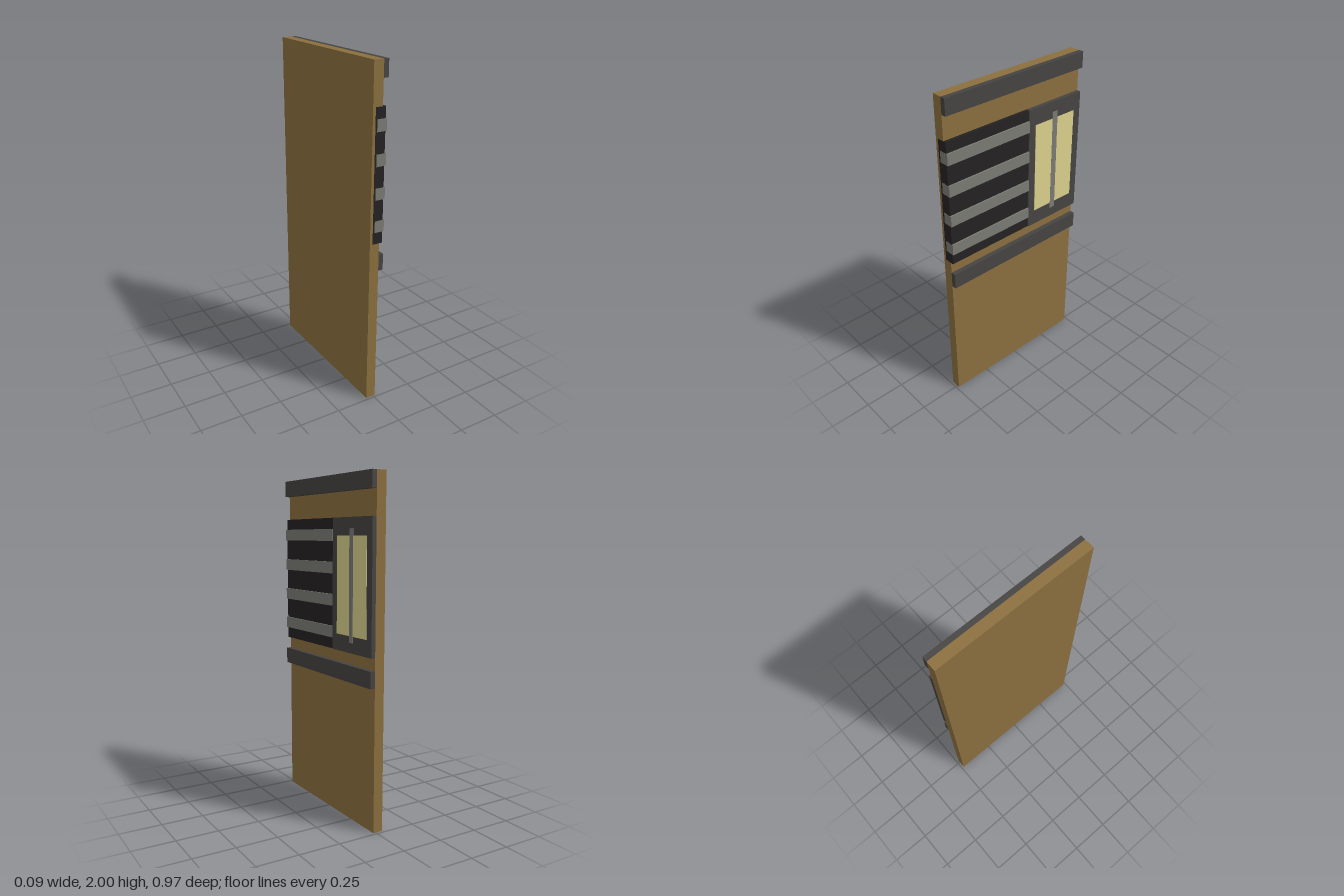
import * as THREE from 'three';

const mat = (color) => new THREE.MeshStandardMaterial({ color });

export function createModel() {
  const model = new THREE.Group();
  const wood = mat(0x8b6f3e), trim = mat(0x464442), recess = mat(0x242121);
  const slatGrey = mat(0x7b7b75), glass = mat(0xdbd18d);

  // Box given by its extents along each axis
  const box = (name, material, [x0, x1], [y0, y1], [z0, z1]) => {
    const mesh = new THREE.Mesh(new THREE.BoxGeometry(x1 - x0, y1 - y0, z1 - z0), material);
    mesh.position.set((x0 + x1) / 2, (y0 + y1) / 2, (z0 + z1) / 2);
    mesh.name = name;
    model.add(mesh);
  };

  // Wall panel and the two trim rails
  const width = [-0.485, 0.485];
  box('wallPanel', wood, [-0.045, 0.015], [0, 2], width);
  box('topRail', trim, [0.015, 0.045], [1.905, 2], width);
  box('middleRail', trim, [0.015, 0.045], [0.835, 0.932], width);

  // Dark grille with four slats, ends just proud of the panel edge
  box('grilleBack', recess, [-0.028, 0.034], [1.003, 1.762], [-0.085, 0.4855]);
  for (let i = 0; i < 4; i++) {
    const y = 1.104 + i * 0.187;
    box('slat' + (i + 1), slatGrey, [-0.017, 0.043], [y - 0.034, y + 0.034], [-0.085, 0.486]);
  }

  // Window: frame, pane and centre bar
  box('windowFrame', trim, [0.015, 0.04], [1.003, 1.762], [-0.485, -0.085]);
  box('windowPane', glass, [0.02, 0.042], [1.1, 1.66], [-0.435, -0.133]);
  box('windowBar', slatGrey, [0.02, 0.0425], [1.062, 1.7], [-0.302, -0.264]);

  return model;
}
